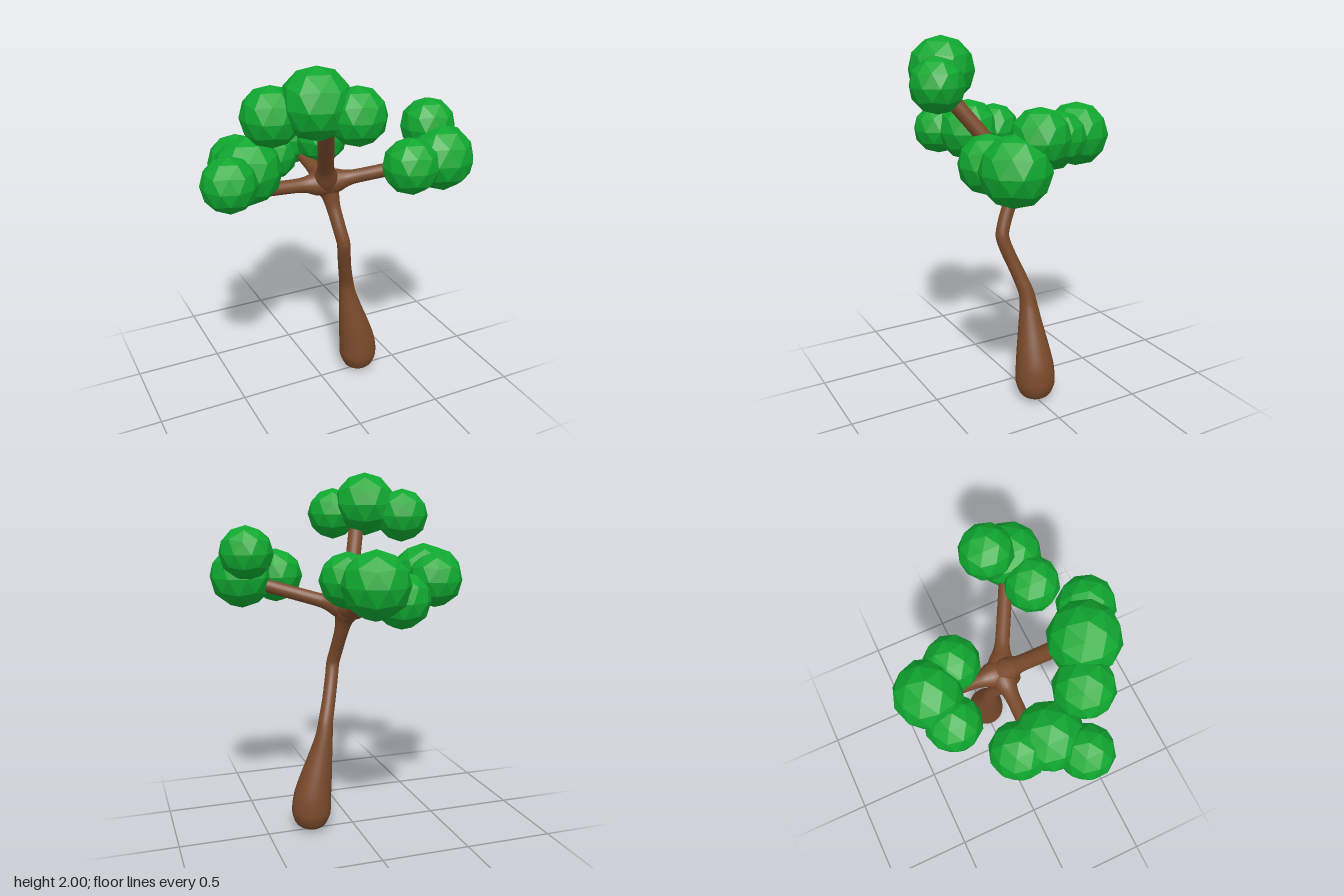
import * as THREE from 'three';

const bark = new THREE.MeshStandardMaterial({ color: 0x7a4a2b });
const leaf = new THREE.MeshStandardMaterial({ color: 0x10a830, flatShading: true });

// Smooth round limb through stations [x, y, z, radius]
function limb(name, stations, ref, rings = 48, sides = 20) {
  const path = new THREE.CatmullRomCurve3(
    stations.map(([x, y, z]) => new THREE.Vector3(x, y, z)), false, 'catmullrom', 0.4);
  const girth = new THREE.CatmullRomCurve3(
    stations.map((s) => new THREE.Vector3(s[3], 0, 0)), false, 'catmullrom', 0.4);
  const pos = [], index = [];
  for (let i = 0; i <= rings; i++) {
    const t = i / rings, c = path.getPoint(t), r = Math.max(girth.getPoint(t).x, 0.0005);
    const dir = path.getTangent(t);
    const u = ref.clone().addScaledVector(dir, -ref.dot(dir)).normalize();
    const v = dir.clone().cross(u);
    for (let j = 0; j < sides; j++) {
      const a = (j / sides) * Math.PI * 2;
      const p = c.clone().addScaledVector(u, r * Math.cos(a)).addScaledVector(v, r * Math.sin(a));
      pos.push(p.x, p.y, p.z);
      if (i < rings) {
        const k = (j + 1) % sides, a0 = i * sides + j, b0 = i * sides + k;
        index.push(a0, b0, b0 + sides, a0, b0 + sides, a0 + sides);
      }
    }
  }
  const g = new THREE.BufferGeometry();
  g.setAttribute('position', new THREE.Float32BufferAttribute(pos, 3));
  g.setIndex(index);
  g.computeVertexNormals();
  const m = new THREE.Mesh(g, bark);
  m.name = name;
  return m;
}

// Branch flaring out of the fork, ending in a rounded tip
function branch(name, tip, r) {
  const from = new THREE.Vector3(0.025, 1.27, 0.005), to = new THREE.Vector3(...tip);
  const len = from.distanceTo(to);
  const at = (d, rad) => [...from.clone().lerp(to, d / len).toArray(), rad];
  return limb(name, [
    at(0, 0.075), at(0.06, 0.066), at(0.12, r * 1.18), at(0.19, r), at(len - 0.1, r),
    at(len - 0.035, r), at(len - 0.012, r * 0.75), at(len, 0),
  ], new THREE.Vector3(0.3, 1, -0.5).normalize());
}

export function createModel() {
  const tree = new THREE.Group();
  tree.name = 'tree';

  // Crooked trunk with a swollen foot
  tree.add(limb('trunk', [
    [0.252, 0.003, 0, 0], [0.251, 0.008, 0, 0.045], [0.25, 0.035, 0, 0.085],
    [0.249, 0.1, 0, 0.11], [0.242, 0.19, 0, 0.108], [0.22, 0.3, 0, 0.092],
    [0.194, 0.42, 0, 0.07], [0.17, 0.54, 0, 0.05], [0.157, 0.62, 0.01, 0.042],
    [0.125, 0.74, 0.05, 0.038], [0.095, 0.86, 0.095, 0.037], [0.08, 0.94, 0.115, 0.037],
    [0.066, 1.02, 0.092, 0.037], [0.052, 1.13, 0.045, 0.039], [0.043, 1.2, 0.022, 0.05],
    [0.032, 1.25, 0.005, 0.07], [0.02, 1.3, 0, 0.05], [0.02, 1.32, 0, 0],
  ], new THREE.Vector3(1, 0, 0), 120, 28));

  // Branches spreading from the fork
  tree.add(
    branch('rightBranch', [-0.46, 1.29, -0.01], 0.038),
    branch('leftBranch', [0.53, 1.41, 0.28], 0.038),
    branch('backBranch', [0.015, 1.36, -0.38], 0.038),
    branch('upperFrontBranch', [-0.16, 1.77, 0.38], 0.043),
  );

  // Faceted leaf balls [x, y, z, radius], grouped by branch
  const clusters = {
    rightFoliage: [[-0.44, 1.43, 0.05, 0.18], [-0.585, 1.425, 0.18, 0.145], [-0.44, 1.42, -0.115, 0.152]],
    leftFoliage: [[0.555, 1.43, 0.305, 0.178], [0.55, 1.57, 0.17, 0.15], [0.35, 1.425, 0.34, 0.152]],
    backFoliage: [[0.01, 1.44, -0.4, 0.182], [-0.155, 1.35, -0.34, 0.152], [0.105, 1.45, -0.23, 0.15]],
    upperFrontFoliage: [[-0.185, 1.82, 0.33, 0.18], [-0.38, 1.757, 0.235, 0.152], [-0.02, 1.765, 0.43, 0.147]],
  };
  const ball = new THREE.IcosahedronGeometry(1, 1);
  ball.rotateZ(-Math.atan(2 / (1 + Math.sqrt(5)))); // one corner straight up
  for (const [name, balls] of Object.entries(clusters)) {
    const cluster = new THREE.Group();
    cluster.name = name;
    for (const [x, y, z, r] of balls) {
      const m = new THREE.Mesh(ball, leaf);
      m.name = 'leafBall';
      m.position.set(x, y, z);
      m.scale.setScalar(r);
      cluster.add(m);
    }
    tree.add(cluster);
  }
  return tree;
}
